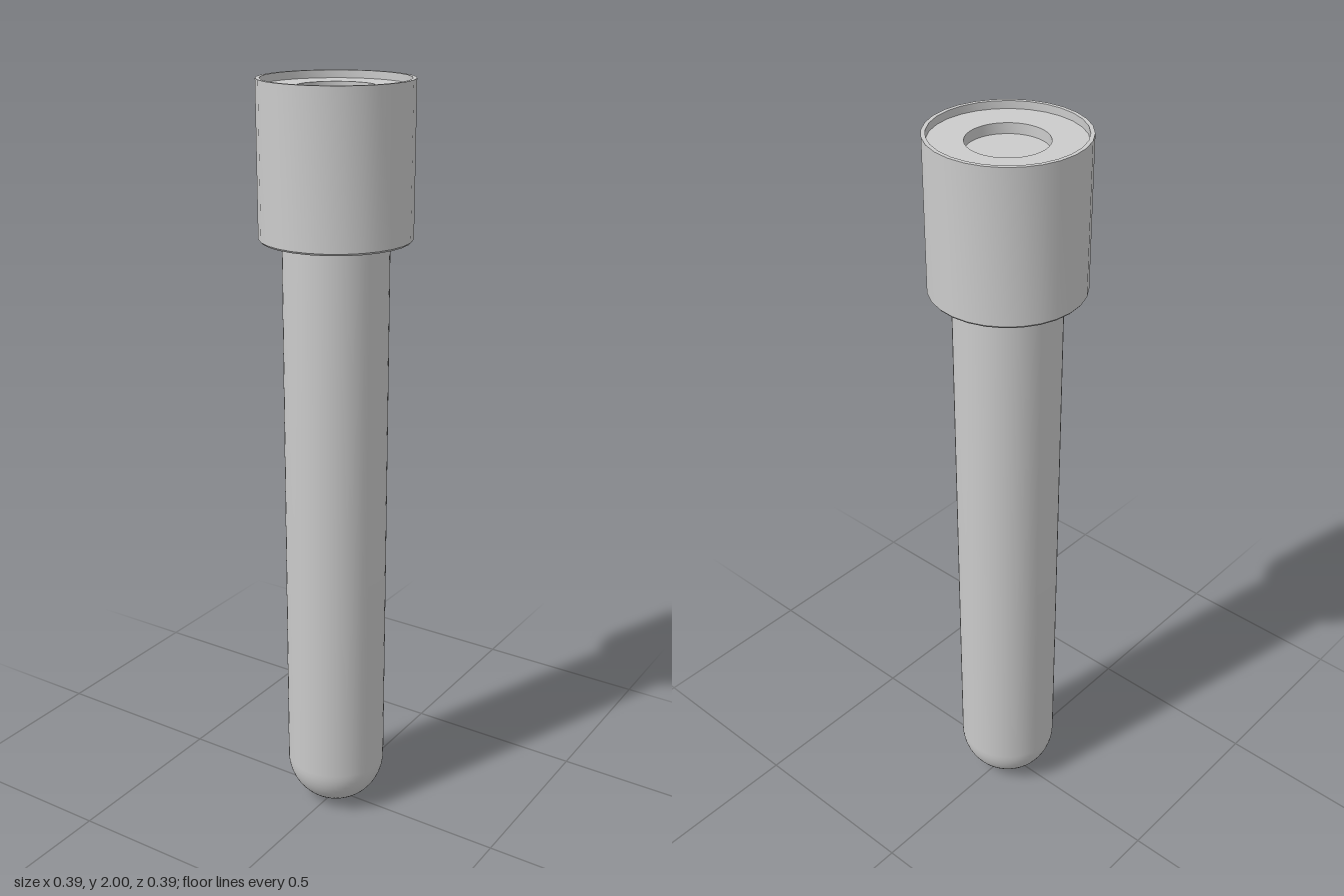
import * as THREE from 'three';
import { toCreasedNormals } from 'three/addons/utils/BufferGeometryUtils.js';

const material = new THREE.MeshStandardMaterial({ color: 0xcccccc });

// Turned part from a [radius, height] profile, with sharp edges kept
function turned(name, profile, sides) {
  const points = profile.map(([r, y]) => new THREE.Vector2(r, y));
  const geometry = toCreasedNormals(new THREE.LatheGeometry(points, sides), 0.5);
  const mesh = new THREE.Mesh(geometry, material);
  mesh.name = name;
  return mesh;
}

export function createModel() {
  const model = new THREE.Group();
  model.name = 'cappedTestTube';

  // Glass tube with a hemispherical bottom
  const radius = 0.135;
  const tube = [];
  for (let i = 0; i <= 14; i++) {
    const a = (i / 14) * Math.PI / 2;
    tube.push([radius * Math.sin(a), radius * (1 - Math.cos(a))]);
  }
  tube.push([radius, 1.64]);
  model.add(turned('tube', tube, 56));

  // Cap shell: underside, slight bottom bevel, wall and thin raised rim
  model.add(turned('cap', [
    [0.13, 1.612], [0.189, 1.612], [0.193, 1.617],
    [0.193, 2], [0.183, 2], [0.183, 1.975],
  ], 28));

  // Sunken top of the cap with a shallow round well in its middle
  model.add(turned('capTop', [
    [0.186, 1.981], [0.098, 1.981], [0.098, 1.955], [0, 1.955],
  ], 56));

  return model;
}
